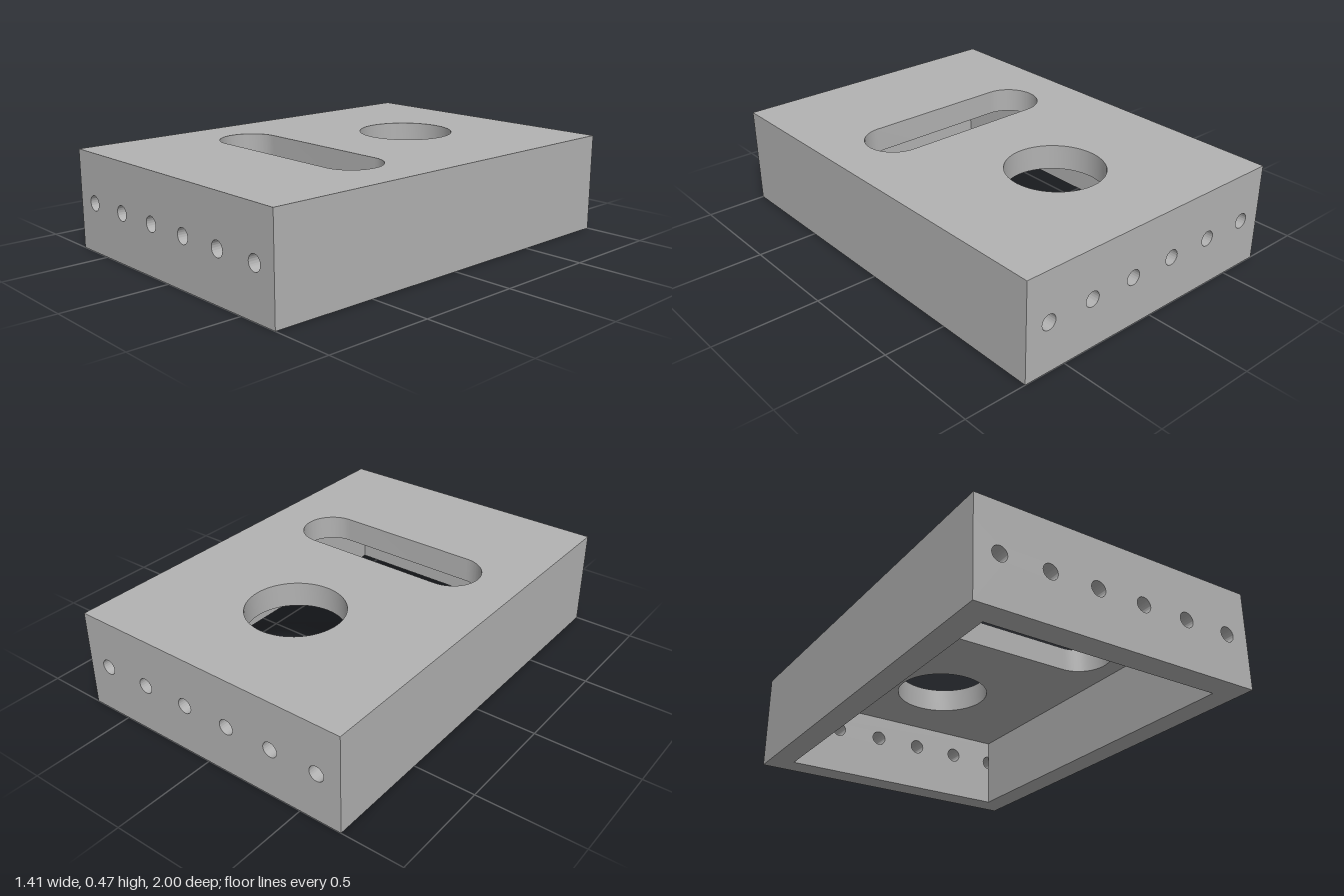
import * as THREE from 'three';
import { toCreasedNormals } from 'three/addons/utils/BufferGeometryUtils.js';

const U = 2 / 17;                       // base module: the block is 12 x 4 x 17 modules
const W = 12 * U, H = 4 * U, L = 2, T = U;

function rectangle(x0, y0, x1, y1) {
  const s = new THREE.Shape();
  s.moveTo(x0, y0);
  s.lineTo(x1, y0);
  s.lineTo(x1, y1);
  s.lineTo(x0, y1);
  s.closePath();
  return s;
}

function circle(x, y, r) {
  return new THREE.Path().absarc(x, y, r, 0, Math.PI * 2, true);
}

// Rounded slot running along x
function slot(y, halfSpan, r) {
  const p = new THREE.Path();
  p.absarc(halfSpan, y, r, -Math.PI / 2, Math.PI / 2, false);
  p.absarc(-halfSpan, y, r, Math.PI / 2, Math.PI * 1.5, false);
  p.closePath();
  return p;
}

function plate(shape) {
  const g = new THREE.ExtrudeGeometry(shape, { depth: T, bevelEnabled: false, curveSegments: 32 });
  return toCreasedNormals(g, 0.6);
}

export function createModel() {
  const model = new THREE.Group();
  model.name = 'drilledCover';
  const grey = new THREE.MeshStandardMaterial({ color: 0xb2b2b2 });
  grey.name = 'grey';

  const add = (name, geometry, x, y, z) => {
    const mesh = new THREE.Mesh(geometry, grey);
    mesh.name = name;
    mesh.position.set(x, y, z);
    model.add(mesh);
  };

  // Top plate with a round opening at the back and a slot at the front
  const top = rectangle(-W / 2, -L / 2, W / 2, L / 2);
  top.holes.push(circle(0, 0.414, 0.227), slot(-0.29, 3 * U, 0.144));
  add('topPlate', plate(top).rotateX(-Math.PI / 2), 0, H - T, 0);

  // End walls, each with a row of six drilled holes
  const end = rectangle(-W / 2, 0, W / 2, H - T);
  for (let i = -5; i <= 5; i += 2) end.holes.push(circle(i * U, H / 2, 0.036));
  const endGeometry = plate(end);
  add('frontWall', endGeometry, 0, 0, L / 2 - T);
  add('backWall', endGeometry, 0, 0, -L / 2);

  // Side walls between the end walls; they close the outer half of the corner holes
  const sideGeometry = new THREE.BoxGeometry(T, H - T, L - 2 * T);
  for (const [name, s] of [['leftWall', 1], ['rightWall', -1]]) {
    add(name, sideGeometry, s * (W - T) / 2, (H - T) / 2, 0);
  }
  return model;
}
